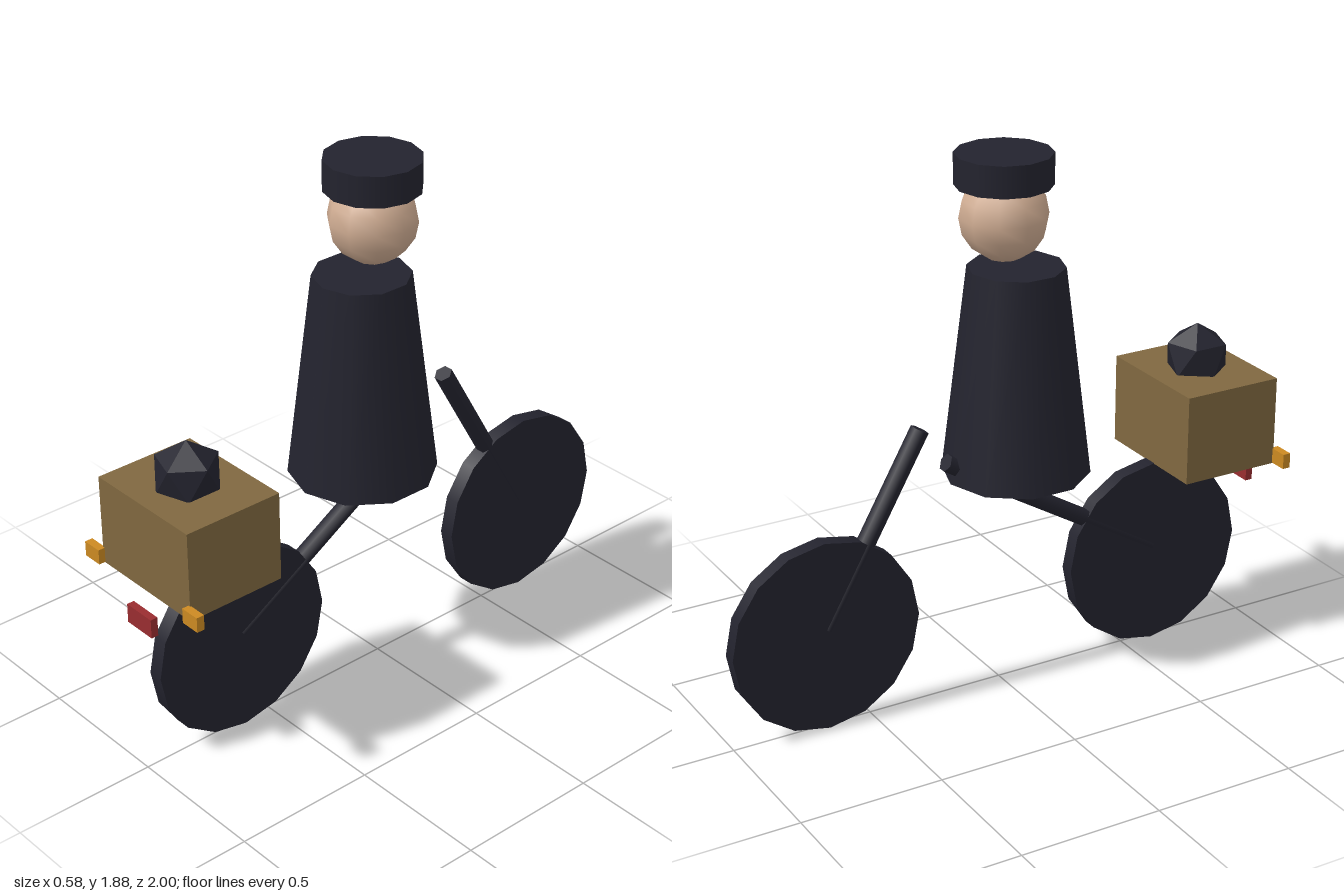
import * as THREE from 'three';

const material = (name, color) => {
  const m = new THREE.MeshStandardMaterial({ color });
  m.name = name;
  return m;
};

export function createModel() {
  const dark = material('darkNavy', 0x23232e);
  const skin = material('skin', 0xcfac92);
  const wood = material('brownBox', 0x806840);
  const amber = material('amber', 0xcc8a22);
  const red = material('red', 0x992d30);

  const model = new THREE.Group();
  model.name = 'bicycleRider';

  const add = (name, geometry, mat, x, y, z) => {
    const mesh = new THREE.Mesh(geometry, mat);
    mesh.name = name;
    mesh.position.set(x, y, z);
    model.add(mesh);
    return mesh;
  };

  // Solid disc wheels
  const wheel = new THREE.CylinderGeometry(0.339, 0.339, 0.054, 16).rotateZ(Math.PI / 2);
  add('frontWheel', wheel, dark, 0, 0.339, 0.611);
  add('rearWheel', wheel, dark, 0, 0.339, -0.661);

  // Six-sided frame tubes running from each hub, in the x = 0 plane
  const tube = (name, y0, z0, y1, z1) => {
    const dy = y1 - y0, dz = z1 - z0;
    const geometry = new THREE.CylinderGeometry(0.032, 0.032, Math.hypot(dy, dz), 6)
      .rotateY(Math.PI / 2)
      .rotateX(Math.atan2(dz, dy));
    add(name, geometry, dark, 0, (y0 + y1) / 2, (z0 + z1) / 2);
  };
  tube('frontFrameTube', 0.36, 0.61, 0.85, -0.2);
  tube('rearFrameTube', 0.36, -0.655, 0.99, -0.295);

  // Rider: coat, head and flat cap
  add('coat', new THREE.CylinderGeometry(0.163, 0.25, 0.718, 10), dark, 0, 1.127, 0.067);
  add('head', new THREE.SphereGeometry(0.149, 10, 8), skin, 0, 1.665, 0.02);
  add('cap', new THREE.CylinderGeometry(0.162, 0.162, 0.106, 12), dark, 0, 1.822, 0.02);

  // Cargo box with a faceted bundle, standing on one point, sunk into its lid
  add('cargoBox', new THREE.BoxGeometry(0.45, 0.315, 0.36), wood, 0, 0.832, 0.786);
  const bundle = new THREE.IcosahedronGeometry(0.117, 0)
    .rotateZ(-Math.atan(2 / (1 + Math.sqrt(5))));
  add('cargoBundle', bundle, dark, 0, 1.035, 0.788);

  // Amber side markers and the red front plate
  for (const side of [-1, 1]) {
    add(side > 0 ? 'leftMarker' : 'rightMarker',
      new THREE.BoxGeometry(0.072, 0.053, 0.028), amber, side * 0.253, 0.703, 0.976);
  }
  add('frontPlate', new THREE.BoxGeometry(0.123, 0.068, 0.026), red, 0, 0.575, 0.987);

  return model;
}
